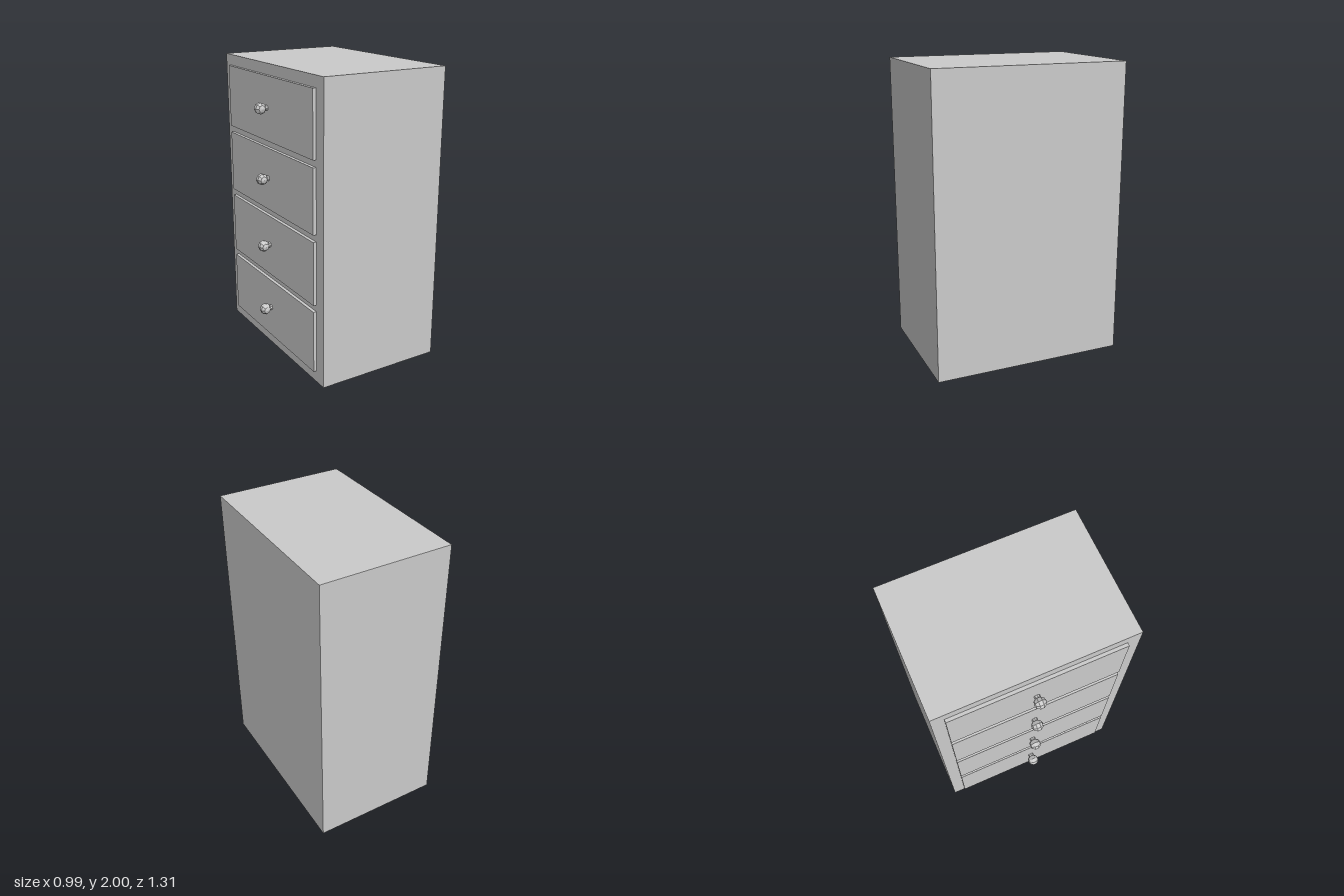
import * as THREE from 'three';

const material = new THREE.MeshStandardMaterial({ color: 0xcccccc, flatShading: true });

function addPart(parent, name, geometry, x, y, z) {
  const mesh = new THREE.Mesh(geometry, material);
  mesh.name = name;
  mesh.position.set(x, y, z);
  parent.add(mesh);
  return mesh;
}

export function createModel() {
  const model = new THREE.Group();
  model.name = 'chestOfDrawers';

  // Cabinet body
  addPart(model, 'cabinet', new THREE.BoxGeometry(0.886, 2, 1.31), 0.052, 1, 0);

  // Shared drawer shapes: panel, short stem and faceted knob
  const panel = new THREE.BoxGeometry(0.03, 0.427, 1.143);
  const stem = new THREE.CylinderGeometry(0.019, 0.019, 0.05, 8).rotateZ(Math.PI / 2);
  const ball = new THREE.SphereGeometry(0.04, 8, 5).rotateX(Math.PI / 2);

  // Four drawers stacked on the -x side
  for (let i = 0; i < 4; i++) {
    const drawer = new THREE.Group();
    drawer.name = 'drawer' + (i + 1);
    drawer.position.y = 0.294 + i * 0.473;
    addPart(drawer, 'drawerFront', panel, -0.398, 0, -0.002);
    addPart(drawer, 'knobStem', stem, -0.43, 0.007, -0.01);
    addPart(drawer, 'knob', ball, -0.461, 0.007, -0.01);
    model.add(drawer);
  }
  return model;
}
